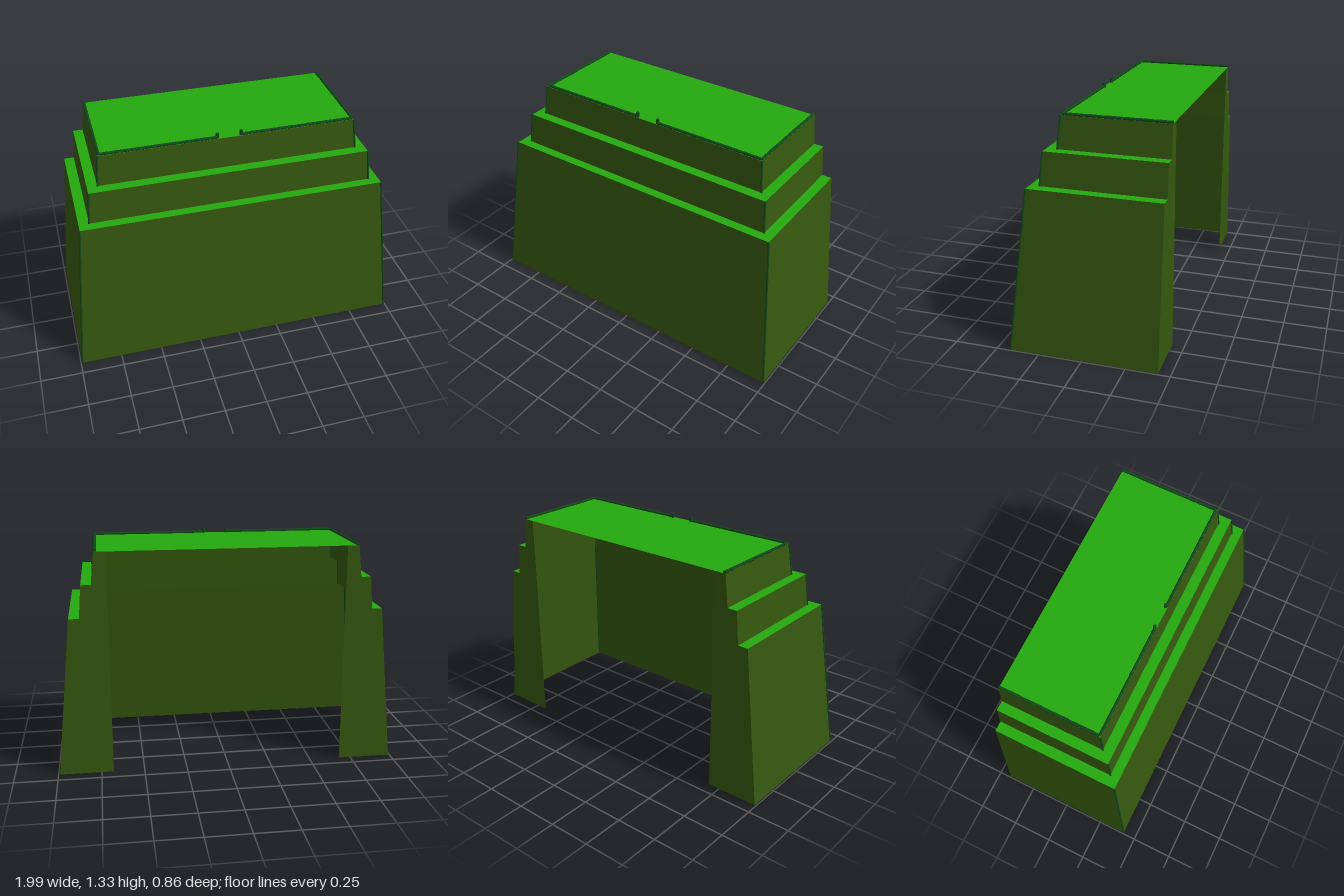
import * as THREE from 'three';

const BACK = -0.43, INNER = 0.68, DECK = 1.303;
// Each tier: bottom and top height, half width and front depth
const TIERS = [
  { y0: 0, x0: 0.992, z0: 0.42, y1: 0.93, x1: 0.9, z1: 0.327 },
  { y0: 0.93, x0: 0.84, z0: 0.272, y1: 1.12, x1: 0.824, z1: 0.255 },
  { y0: 1.12, x0: 0.766, z0: 0.195, y1: DECK, x1: 0.747, z1: 0.178 },
];

const mat = (color) => new THREE.MeshStandardMaterial({ color, side: THREE.DoubleSide });
const wallMat = mat(0x35580f), grassMat = mat(0x24a80f), trimMat = mat(0x12481a);

// Flat panels, each given by four corners counter-clockwise from outside
function panels(name, quads, material) {
  const pos = quads.flatMap(([a, b, c, d]) => [a, b, c, a, c, d].flat());
  const geo = new THREE.BufferGeometry();
  geo.setAttribute('position', new THREE.Float32BufferAttribute(pos, 3));
  geo.computeVertexNormals();
  const mesh = new THREE.Mesh(geo, material);
  mesh.name = name;
  return mesh;
}

// Row of short logs laid end to end between two points
function logRow(name, from, to, radius, step) {
  const group = new THREE.Group();
  group.name = name;
  const a = new THREE.Vector3(...from), b = new THREE.Vector3(...to);
  const dir = b.clone().sub(a), n = Math.max(1, Math.round(dir.length() / step));
  const len = dir.length() / n;
  const geo = new THREE.CylinderGeometry(radius, radius * 0.85, len, 8);
  dir.normalize();
  for (let i = 0; i < n; i++) {
    const log = new THREE.Mesh(geo, trimMat);
    log.name = 'log';
    log.position.copy(a).addScaledVector(dir, (i + 0.5) * len);
    log.quaternion.setFromUnitVectors(new THREE.Vector3(0, 1, 0), dir);
    group.add(log);
  }
  return group;
}

export function createModel() {
  const model = new THREE.Group();
  model.name = 'steppedHill';

  TIERS.forEach((t, i) => {
    const { y0, x0, z0, y1, x1, z1 } = t;
    // Sloped front and side walls, with back returns beside the open middle
    model.add(panels('tierWalls' + (i + 1), [
      [[-x0, y0, z0], [x0, y0, z0], [x1, y1, z1], [-x1, y1, z1]],
      [[x0, y0, z0], [x0, y0, BACK], [x1, y1, BACK], [x1, y1, z1]],
      [[-x0, y0, BACK], [-x0, y0, z0], [-x1, y1, z1], [-x1, y1, BACK]],
      [[x0, y0, BACK], [INNER, y0, BACK], [INNER, y1, BACK], [x1, y1, BACK]],
      [[-INNER, y0, BACK], [-x0, y0, BACK], [-x1, y1, BACK], [-INNER, y1, BACK]],
    ], wallMat));

    // Grass ledge running round to the next tier
    const next = TIERS[i + 1];
    if (next) {
      const xi = next.x0, zi = next.z0;
      model.add(panels('ledge' + (i + 1), [
        [[-x1, y1, z1], [x1, y1, z1], [xi, y1, zi], [-xi, y1, zi]],
        [[x1, y1, z1], [x1, y1, BACK], [xi, y1, BACK], [xi, y1, zi]],
        [[-x1, y1, BACK], [-x1, y1, z1], [-xi, y1, zi], [-xi, y1, BACK]],
      ], grassMat));
    }

    // Trim down the sloped front corners
    for (const s of [1, -1]) {
      model.add(logRow('cornerTrim', [s * x0, y0, z0], [s * x1, y1, z1], 0.006, 0.06));
    }
  });

  // Grass deck on top
  const { x1, z1 } = TIERS[2];
  model.add(panels('deck', [
    [[-x1, DECK, z1], [x1, DECK, z1], [x1, DECK, BACK], [-x1, DECK, BACK]],
  ], grassMat));

  // Low log border with a gap at the front, and a post on each side of the gap
  const ry = DECK + 0.006, rx = x1 - 0.007, rz = z1 - 0.008;
  for (const s of [1, -1]) {
    model.add(logRow('sideBorder', [s * rx, ry, rz], [s * rx, ry, BACK], 0.009, 0.055));
    model.add(logRow('frontBorder', [s * rx, ry, rz], [s * 0.075, ry, rz], 0.009, 0.055));
    const post = new THREE.Mesh(new THREE.CylinderGeometry(0.01, 0.01, 0.03, 8), trimMat);
    post.name = 'gatePost';
    post.position.set(s * 0.07, DECK + 0.013, rz - 0.004);
    model.add(post);
  }
  return model;
}
